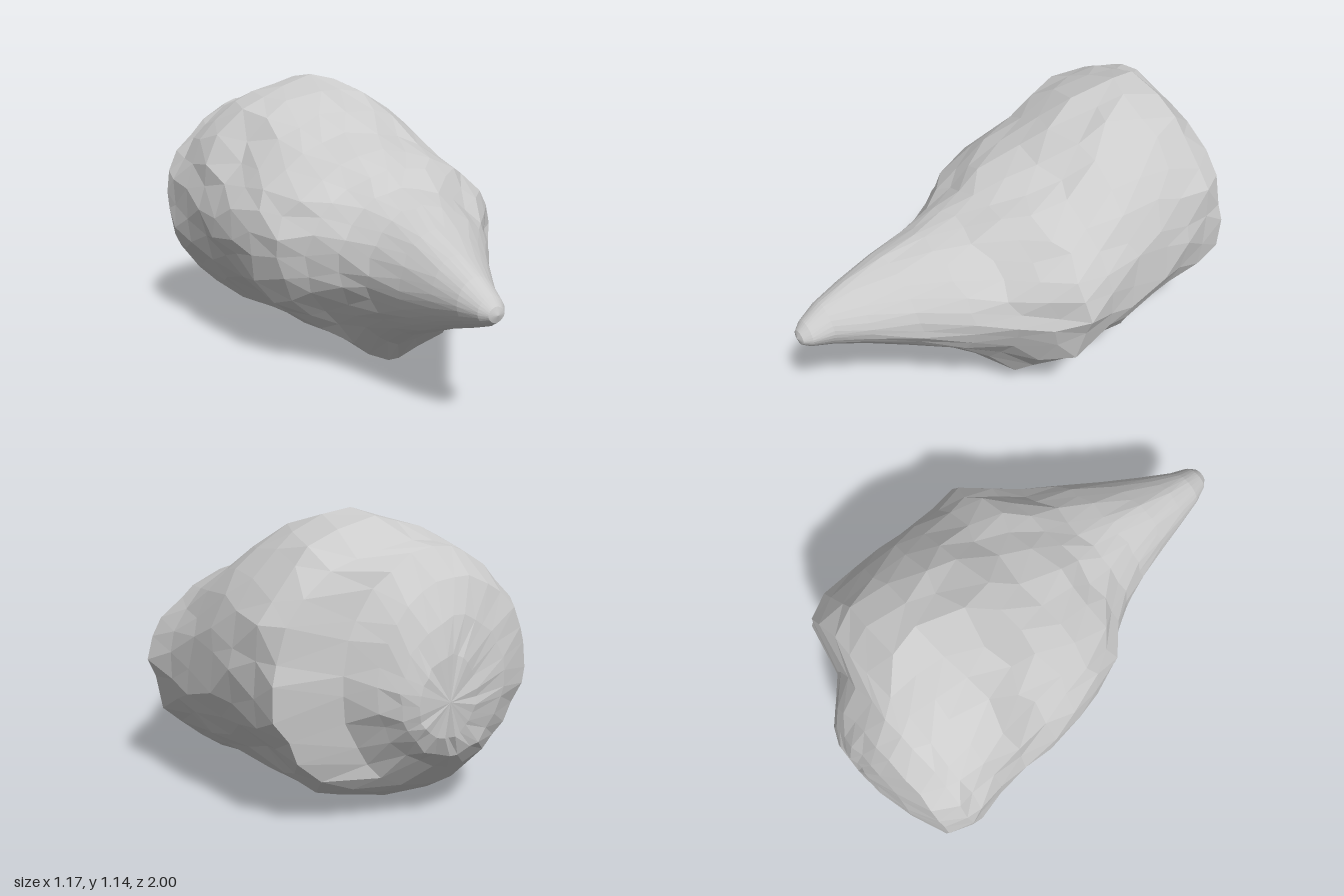
import * as THREE from 'three';

// Cross-sections from nose to back: z, xLow, xHigh, yLow, yHigh, ridge x, widest y
const SECTIONS = [
  [0.99, -0.135, -0.065, 0.435, 0.495, -0.1, 0.465],
  [0.96, -0.16, -0.04, 0.415, 0.525, -0.1, 0.47],
  [0.88, -0.19, -0.01, 0.385, 0.575, -0.1, 0.48],
  [0.76, -0.215, 0.07, 0.345, 0.625, -0.1, 0.48],
  [0.6, -0.245, 0.18, 0.28, 0.685, -0.08, 0.47],
  [0.44, -0.28, 0.31, 0.215, 0.735, -0.05, 0.47],
  [0.3, -0.33, 0.4, 0.12, 0.775, -0.03, 0.48],
  [0.18, -0.4, 0.5, 0.005, 0.835, 0.01, 0.49],
  [0.08, -0.48, 0.575, 0.03, 0.885, 0.01, 0.51],
  [-0.06, -0.535, 0.56, 0.06, 0.945, 0.01, 0.52],
  [-0.2, -0.55, 0.55, 0.065, 1.02, 0.02, 0.53],
  [-0.35, -0.555, 0.54, 0.04, 1.09, 0.02, 0.55],
  [-0.5, -0.555, 0.53, 0.02, 1.14, 0.01, 0.57],
  [-0.64, -0.565, 0.515, 0.035, 1.12, -0.04, 0.59],
  [-0.75, -0.575, 0.5, 0.075, 1.05, -0.1, 0.57],
  [-0.81, -0.575, 0.25, 0.11, 1.02, -0.17, 0.57],
  [-0.9, -0.53, 0.16, 0.22, 0.93, -0.18, 0.55],
  [-0.96, -0.38, 0.1, 0.28, 0.8, -0.14, 0.53],
  [-0.99, -0.22, 0.04, 0.36, 0.67, -0.1, 0.5],
];
// Hollows in the skin: centre x, y, z, radius, depth
const DENTS = [
  [0.4, 0.2, -0.5, 0.22, 0.11],
  [-0.26, 0.2, 0.2, 0.22, 0.12],
  [-0.45, 0.88, -0.3, 0.18, 0.08],
  [-0.42, 0.2, -0.3, 0.2, 0.06],
];
const SIDES = 28;

// Repeatable noise in -0.5..0.5
function noise(i, j, k) {
  const s = Math.sin(i * 12.9898 + j * 78.233 + k * 37.719) * 43758.5453;
  return s - Math.floor(s) - 0.5;
}

// One point on the outline of a section, made of four unequal curved quarters
function sectionPoint([z, x0, x1, y0, y1, cx, cy], ring, side) {
  const rough = THREE.MathUtils.clamp((0.85 - z) / 0.8, 0, 1);
  const a = ((side + 0.5 * (ring % 2) + 0.45 * rough * noise(ring, side, 1)) / SIDES) * Math.PI * 2;
  const c = Math.cos(a), s = Math.sin(a);
  const e = 2 / (c > 0 ? (z > 0.1 ? 1.75 : 1.95) : (s > 0 ? 1.95 : 1.8));
  const dx = Math.sign(c) * Math.abs(c) ** e * (c > 0 ? x1 - cx : cx - x0);
  const dy = Math.sign(s) * Math.abs(s) ** e * (s > 0 ? y1 - cy : cy - y0);
  let swell = 1 + rough * (0.055 * noise(ring, side, 2) - 0.004);
  for (const [px, py, pz, radius, depth] of DENTS) {
    const far = Math.hypot(cx + dx - px, cy + dy - py, z - pz) / radius;
    swell -= depth * Math.exp(-2 * far * far);
  }
  const drift = (z < -0.6 ? 0.015 : 0.06) * rough * noise(ring, side, 3);
  return [cx + dx * swell, cy + dy * swell, z + drift];
}

export function createModel() {
  const positions = [], index = [];
  SECTIONS.forEach((row, r) => {
    for (let i = 0; i < SIDES; i++) positions.push(...sectionPoint(row, r, i));
  });

  // Skin between neighbouring sections, following the half-step stagger
  for (let r = 0; r < SECTIONS.length - 1; r++) {
    for (let i = 0; i < SIDES; i++) {
      const a = r * SIDES + i, b = r * SIDES + ((i + 1) % SIDES);
      const c = a + SIDES, d = b + SIDES;
      if (r % 2) index.push(a, c, d, a, d, b);
      else index.push(a, c, b, b, c, d);
    }
  }

  // Rounded nose tip and blunt back
  const nose = positions.length / 3;
  positions.push(-0.1, 0.465, 1, -0.09, 0.5, -1);
  const last = (SECTIONS.length - 1) * SIDES;
  for (let i = 0; i < SIDES; i++) {
    const n = (i + 1) % SIDES;
    index.push(nose, i, n, nose + 1, last + n, last + i);
  }

  const geometry = new THREE.BufferGeometry();
  geometry.setAttribute('position', new THREE.Float32BufferAttribute(positions, 3));
  geometry.setIndex(index);
  // Rest the lowest point on the ground
  geometry.computeBoundingBox();
  geometry.translate(0, -geometry.boundingBox.min.y, 0);
  geometry.computeVertexNormals();

  const rock = new THREE.Mesh(geometry, new THREE.MeshStandardMaterial({ color: 0xcccccc, flatShading: true }));
  rock.name = 'rock';
  const group = new THREE.Group();
  group.name = 'pointedRock';
  group.add(rock);
  return group;
}
